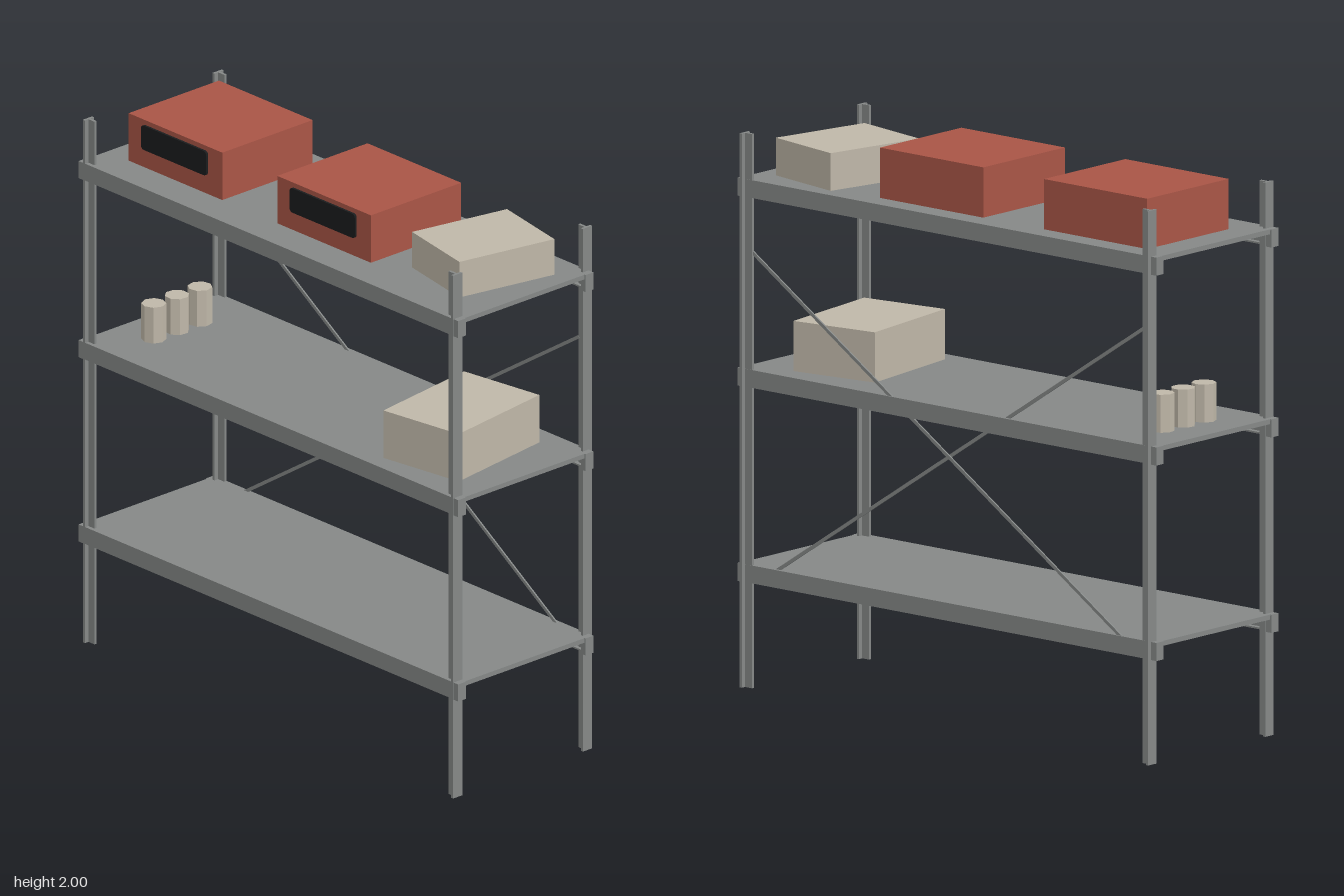
import * as THREE from 'three';

const mat = (name, color) => {
  const m = new THREE.MeshStandardMaterial({ color });
  m.name = name;
  return m;
};

export function createModel() {
  const model = new THREE.Group();
  model.name = 'storageRack';
  const steel = mat('grey steel', 0x858887);
  const red = mat('red case', 0xa95546);
  const card = mat('pale cardboard', 0xbfb7a8);
  const black = mat('black panel', 0x1a1c1d);

  const add = (name, geometry, material, x, y, z, parent = model) => {
    const mesh = new THREE.Mesh(geometry, material);
    mesh.name = name;
    mesh.position.set(x, y, z);
    parent.add(mesh);
    return mesh;
  };
  // Box given by its minimum and maximum on each axis
  const block = (name, material, x0, x1, y0, y1, z0, z1, parent) =>
    add(name, new THREE.BoxGeometry(x1 - x0, y1 - y0, z1 - z0), material,
      (x0 + x1) / 2, (y0 + y1) / 2, (z0 + z1) / 2, parent);

  // T-section corner posts, extruded upwards
  const section = new THREE.Shape([
    [-0.022, 0.011], [-0.005, 0.011], [-0.005, -0.021], [0.005, -0.021],
    [0.005, 0.011], [0.022, 0.011], [0.022, 0.021], [-0.022, 0.021],
  ].map(([x, y]) => new THREE.Vector2(x, y)));
  const postGeometry = new THREE.ExtrudeGeometry(section, { depth: 1.985, bevelEnabled: false });
  postGeometry.rotateX(-Math.PI / 2);
  for (const x of [-0.311, 0.307]) {
    for (const side of [-1, 1]) {
      const post = add('cornerPost', postGeometry, steel, x, 0, side * 0.932);
      if (side > 0) post.rotation.y = Math.PI;
    }
  }

  // Shelves: thin deck, side channels, end lips and corner clips
  const left = -0.331, right = 0.313, end = 0.972;
  for (const top of [0.44, 1.14, 1.82]) {
    const shelf = new THREE.Group();
    shelf.name = 'shelf';
    model.add(shelf);
    block('deck', steel, left, right, top - 0.005, top, -end, end, shelf);
    for (const s of [-1, 1]) {
      const outer = s < 0 ? left : right;
      const rail = (name, inset, y0, y1, z0, z1) => block(name, steel,
        Math.min(outer, outer - s * inset), Math.max(outer, outer - s * inset), y0, y1, z0, z1, shelf);
      rail('sideChannel', 0.006, top - 0.064, top - 0.001, -end, end);
      rail('channelLip', 0.024, top - 0.064, top - 0.058, -end, end);
      for (const e of [-1, 1]) {
        const z = e * 0.965;
        rail('cornerClip', 0.037, top - 0.065, top, z - 0.012, z + 0.012);
      }
      const z = s * (end - 0.004);
      block('endLip', steel, left, right, top - 0.018, top - 0.001, z - 0.003, z + 0.003, shelf);
    }
  }

  // Crossed braces on one long side
  for (const s of [-1, 1]) {
    const a = new THREE.Vector3(0.301 + s * 0.003, 1.56, s * 0.915);
    const b = new THREE.Vector3(0.301 + s * 0.003, 0.38, -s * 0.89);
    const brace = add('crossBrace', new THREE.BoxGeometry(0.006, 0.012, a.distanceTo(b)), steel, 0, 0, 0);
    brace.position.copy(a).add(b).multiplyScalar(0.5);
    brace.lookAt(a);
  }

  // Red cases with a rounded dark panel on one side
  const w = 0.168, h = 0.046, r = 0.015;
  const panelShape = new THREE.Shape();
  panelShape.moveTo(-w + r, -h);
  panelShape.lineTo(w - r, -h).quadraticCurveTo(w, -h, w, -h + r);
  panelShape.lineTo(w, h - r).quadraticCurveTo(w, h, w - r, h);
  panelShape.lineTo(-w + r, h).quadraticCurveTo(-w, h, -w, h - r);
  panelShape.lineTo(-w, -h + r).quadraticCurveTo(-w, -h, -w + r, -h);
  const panelGeometry = new THREE.ExtrudeGeometry(panelShape, { depth: 0.009, bevelEnabled: false, curveSegments: 4 });
  panelGeometry.rotateY(-Math.PI / 2);
  for (const z of [-0.62, 0.145]) {
    block('redCase', red, -0.2, 0.23, 1.819, 2, z - 0.241, z + 0.241);
    add('casePanel', panelGeometry, black, -0.2, 1.936, z);
  }

  // Cardboard boxes, turned slightly
  const upper = block('upperBox', card, -0.195, 0.195, 1.813, 1.955, -0.158, 0.158);
  upper.position.x = 0.038;
  upper.position.z = 0.707;
  upper.rotation.y = -0.195;
  const lower = block('lowerBox', card, -0.225, 0.225, 1.139, 1.32, -0.169, 0.169);
  lower.position.x = -0.018;
  lower.position.z = 0.655;
  lower.rotation.y = 0.147;

  // Row of faceted tins
  const canGeometry = new THREE.CylinderGeometry(0.044, 0.044, 0.137, 8).toNonIndexed();
  canGeometry.computeVertexNormals();
  [-0.13, -0.02, 0.09].forEach((x, i) => {
    add('tin', canGeometry, card, x, 1.2075, -0.807).rotation.y = 0.3 * i;
  });

  return model;
}
